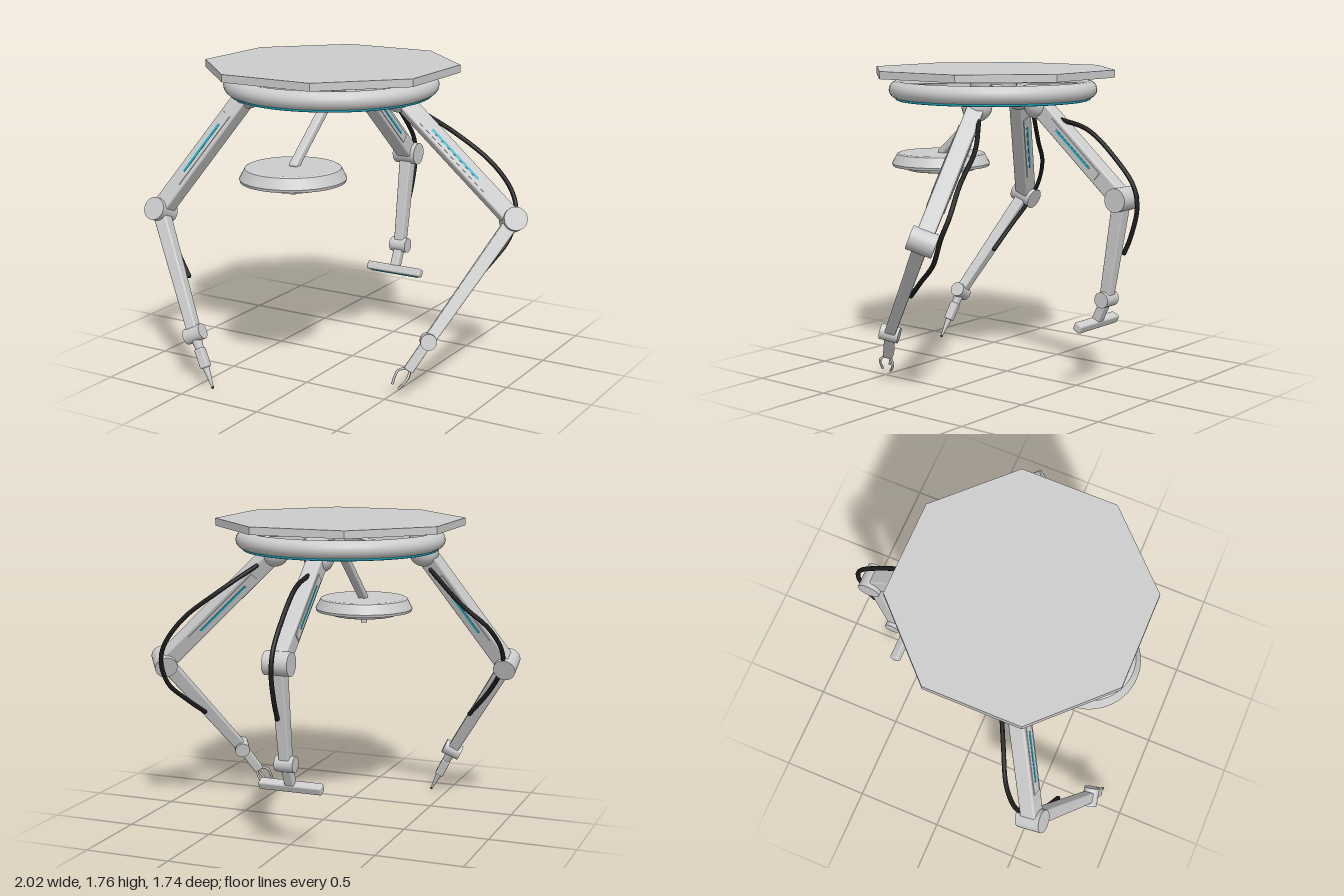
import * as THREE from 'three';
import { RoundedBoxGeometry } from 'three/addons/geometries/RoundedBoxGeometry.js';

const V = (x, y, z) => new THREE.Vector3(x, y, z);
const CX = -0.05, CZ = 0.14;

function makeMaterial(name, color) {
  const m = new THREE.MeshStandardMaterial({ color });
  m.name = name;
  return m;
}

export function createModel() {
  const grey = makeMaterial('light grey', 0xcccccc);
  const black = makeMaterial('cable black', 0x1c1c1c);
  const cyan = makeMaterial('cyan accent', 0x18b4cc);
  const model = new THREE.Group();
  model.name = 'ceilingArmRig';

  function add(parent, name, geometry, material, x = 0, y = 0, z = 0) {
    const mesh = new THREE.Mesh(geometry, material);
    mesh.name = name;
    mesh.position.set(x, y, z);
    parent.add(mesh);
    return mesh;
  }

  // Group at a point whose local x follows the hinge and local y follows the limb
  function frame(parent, name, origin, dir, hinge) {
    const y = dir.clone().normalize();
    const z = new THREE.Vector3().crossVectors(hinge, y).normalize();
    const x = new THREE.Vector3().crossVectors(y, z);
    const g = new THREE.Group();
    g.name = name;
    g.quaternion.setFromRotationMatrix(new THREE.Matrix4().makeBasis(x, y, z));
    g.position.copy(origin);
    parent.add(g);
    return g;
  }

  // Cylinder lying along local x
  const pin = (r, len) => new THREE.CylinderGeometry(r, r, len, 24).rotateZ(Math.PI / 2);

  // Top plate and ring
  const plate = new THREE.CylinderGeometry(0.714, 0.714, 0.043, 8, 1, false, Math.PI / 8).toNonIndexed();
  plate.computeVertexNormals();
  add(model, 'topPlate', plate, grey, CX, 1.745, CZ);
  add(model, 'ring', new THREE.TorusGeometry(0.55, 0.05, 16, 64).rotateX(Math.PI / 2), grey, CX, 1.647, CZ);
  add(model, 'ringLight', new THREE.TorusGeometry(0.552, 0.011, 8, 64).rotateX(Math.PI / 2), cyan, CX, 1.597, CZ);

  // Hub and spokes
  add(model, 'hub', new THREE.CylinderGeometry(0.14, 0.13, 0.12, 28), grey, CX, 1.635, CZ);
  add(model, 'hubCap', new THREE.CylinderGeometry(0.08, 0.22, 0.04, 28), grey, CX, 1.708, CZ);
  for (let i = 0; i < 4; i++) {
    const a = Math.PI / 4 + i * Math.PI / 2;
    const spoke = add(model, 'spoke', new THREE.BoxGeometry(0.45, 0.05, 0.06), grey,
      CX + 0.33 * Math.cos(a), 1.655, CZ - 0.33 * Math.sin(a));
    spoke.rotation.y = a;
  }

  // Pointed probe: body, cone and dark tip
  function probeTool(g) {
    add(g, 'probeSocket', new THREE.CylinderGeometry(0.022, 0.032, 0.08, 16), grey, 0, 0.06, 0);
    add(g, 'probeBody', new RoundedBoxGeometry(0.052, 0.115, 0.052, 2, 0.01), grey, 0, 0.14, 0);
    add(g, 'probeCone', new THREE.CylinderGeometry(0.006, 0.02, 0.12, 16), grey, 0, 0.25, 0);
    add(g, 'probeTip', new THREE.SphereGeometry(0.008, 10, 8), black, 0, 0.313, 0);
  }

  // Gripper: palm and three bent fingers
  function gripperTool(g) {
    add(g, 'gripperPalm', new RoundedBoxGeometry(0.055, 0.17, 0.055, 2, 0.01), grey, 0, 0.11, 0);
    for (let i = 0; i < 3; i++) {
      const a = i * Math.PI * 2 / 3 + 0.4, c = Math.cos(a), s = Math.sin(a);
      const path = new THREE.CatmullRomCurve3([V(0.015 * c, 0.185, 0.015 * s),
        V(0.045 * c, 0.225, 0.045 * s), V(0.042 * c, 0.26, 0.042 * s), V(0.028 * c, 0.305, 0.028 * s)]);
      add(g, 'finger', new THREE.TubeGeometry(path, 12, 0.007, 8), grey);
    }
  }

  // Flat cross bar with an accent along its sole
  function barTool(g) {
    add(g, 'barNeck', new RoundedBoxGeometry(0.055, 0.13, 0.05, 2, 0.008), grey, 0, 0.075, 0);
    add(g, 'crossBar', new RoundedBoxGeometry(0.37, 0.05, 0.055, 2, 0.012), grey, 0, 0.158, 0);
    add(g, 'barAccent', new THREE.BoxGeometry(0.32, 0.006, 0.025), cyan, 0, 0.184, 0);
  }

  function buildArm({ name, shoulder, elbow, wrist, tip, turnWrist, cable, tool }) {
    const arm = new THREE.Group();
    arm.name = name;
    model.add(arm);
    const upper = elbow.clone().sub(shoulder), lower = wrist.clone().sub(elbow);
    const hinge = new THREE.Vector3().crossVectors(lower, upper).normalize();

    // Shoulder mount
    add(arm, 'shoulderCollar', new THREE.CylinderGeometry(0.086, 0.086, 0.11, 28), grey, shoulder.x, 1.625, shoulder.z);
    add(arm, 'shoulderBall', new THREE.SphereGeometry(0.085, 28, 18), grey, shoulder.x, 1.575, shoulder.z);

    // Upper arm with side panels and accent lines
    const uLen = upper.length();
    const u = frame(arm, 'upperArmGroup', shoulder, upper, hinge);
    add(u, 'upperArm', new RoundedBoxGeometry(0.095, uLen, 0.1, 2, 0.012), grey, 0, uLen / 2, 0);
    for (const side of [-1, 1]) {
      add(u, 'sidePanel', new THREE.BoxGeometry(0.006, uLen * 0.57, 0.055), grey, side * 0.049, uLen * 0.48, 0);
      add(u, 'accentLine', new THREE.BoxGeometry(0.005, uLen * 0.4, 0.013), cyan, side * 0.052, uLen * 0.48, 0);
    }

    // Elbow and tapered forearm
    const lLen = lower.length();
    const l = frame(arm, 'forearmGroup', elbow, lower, hinge);
    add(l, 'elbow', pin(0.066, 0.145), grey);
    const forearm = new RoundedBoxGeometry(0.076, lLen, 0.08, 2, 0.01);
    const p = forearm.attributes.position;
    for (let i = 0; i < p.count; i++) {
      const k = 0.9 - 0.22 * p.getY(i) / lLen;
      p.setX(i, p.getX(i) * k);
      p.setZ(i, p.getZ(i) * k);
    }
    add(l, 'forearm', forearm, grey, 0, lLen / 2, 0);

    // Wrist and tool
    const toolDir = tip.clone().sub(wrist);
    const axis = turnWrist ? new THREE.Vector3().crossVectors(lower, hinge).normalize() : hinge;
    const w = frame(arm, 'wristGroup', wrist, toolDir, axis);
    add(w, 'wrist', pin(0.045, 0.108), grey);
    tool(w);

    // Hanging cable
    const curve = new THREE.CatmullRomCurve3(cable.map(c => V(...c)));
    add(arm, 'cable', new THREE.TubeGeometry(curve, 48, 0.013, 10), black);
    for (const end of [0, 1]) {
      add(arm, 'cableEnd', new THREE.SphereGeometry(0.013, 10, 8), black, ...cable[end * (cable.length - 1)]);
    }
  }

  buildArm({
    name: 'leftArm', shoulder: V(0.29, 1.58, -0.02), elbow: V(0.93, 0.92, -0.18),
    wrist: V(0.664, 0.312, 0.307), tip: V(0.545, 0.07, 0.44), tool: gripperTool,
    cable: [[0.37, 1.5, -0.1], [0.55, 1.36, -0.22], [0.75, 1.2, -0.28], [0.86, 1.05, -0.305],
      [0.9, 0.94, -0.28], [0.89, 0.8, -0.22], [0.84, 0.68, -0.085], [0.78, 0.58, 0.04]],
  });
  buildArm({
    name: 'rightArm', shoulder: V(-0.5, 1.58, 0.3), elbow: V(-0.93, 0.9, 0.58),
    wrist: V(-0.541, 0.29, 0.808), tip: V(-0.392, 0.005, 0.85), tool: probeTool, turnWrist: true,
    cable: [[-0.56, 1.48, 0.24], [-0.72, 1.28, 0.32], [-0.87, 1.13, 0.4], [-0.93, 0.98, 0.48],
      [-0.9, 0.85, 0.54], [-0.82, 0.72, 0.6], [-0.69, 0.563, 0.65]],
  });
  buildArm({
    name: 'backArm', shoulder: V(CX, 1.58, -0.19), elbow: V(CX, 1.085, -0.76),
    wrist: V(CX, 0.519, -0.667), tip: V(CX, 0.345, -0.585), tool: barTool,
    cable: [[CX, 1.5, -0.33], [CX, 1.45, -0.53], [CX, 1.3, -0.72], [CX, 1.16, -0.836],
      [CX, 1.045, -0.86], [CX, 0.88, -0.82], [CX, 0.79, -0.78]],
  });

  // Work lamp on a slanted rod
  const lamp = new THREE.Group();
  lamp.name = 'workLamp';
  lamp.position.set(CX, 0, 0.54);
  model.add(lamp);
  const shade = [[0, 1.253], [0.25, 1.253], [0.262, 1.247], [0.292, 1.19], [0.287, 1.174],
    [0.235, 1.172], [0.225, 1.185], [0, 1.185]];
  for (let i = 0; i < shade.length - 1; i++) {
    // Separate bands keep the rims crisp
    const band = [shade[i + 1], shade[i]].map(q => new THREE.Vector2(...q));
    add(lamp, 'lampShade', new THREE.LatheGeometry(band, 56), grey);
  }
  add(lamp, 'lampRing', new THREE.TorusGeometry(0.19, 0.024, 12, 48).rotateX(Math.PI / 2), grey, 0, 1.172, 0);
  add(lamp, 'lampHandle', new THREE.CylinderGeometry(0.018, 0.018, 0.1, 16), grey, 0, 1.15, 0);
  const from = V(CX, 1.585, 0.14), to = V(CX, 1.245, 0.54);
  const rodDir = to.clone().sub(from), rodLen = rodDir.length();
  const rod = frame(model, 'lampRodGroup', from, rodDir, V(1, 0, 0));
  add(rod, 'lampRod', new RoundedBoxGeometry(0.052, rodLen, 0.045, 2, 0.012), grey, 0, rodLen / 2, 0);

  return model;
}
